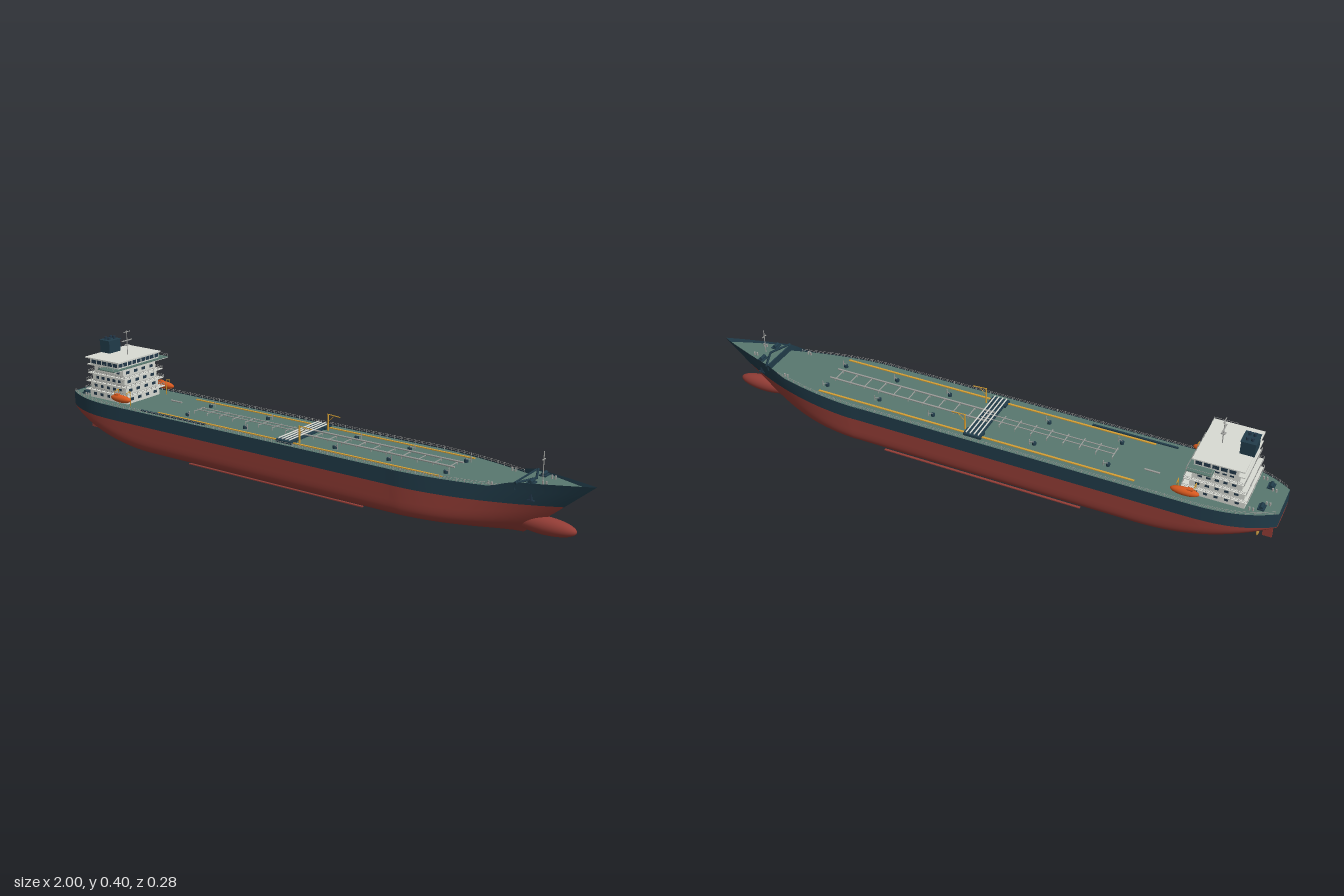
import * as THREE from 'three';
import { mergeGeometries } from 'three/addons/utils/BufferGeometryUtils.js';

const paint = (name, color) => {
  const m = new THREE.MeshStandardMaterial({ color, side: THREE.DoubleSide });
  m.name = name;
  return m;
};

// ---- geometry helpers ----
const V = (x, y, z) => new THREE.Vector3(x, y, z);
const box = (w, h, d, x, y, z) => new THREE.BoxGeometry(w, h, d).translate(x, y, z);
const cyl = (r, h, x, y, z, n = 10) => new THREE.CylinderGeometry(r, r, h, n).translate(x, y + h / 2, z);
function rod(a, b, r = 0.001, n = 5) {
  const d = b.clone().sub(a), g = new THREE.CylinderGeometry(r, r, d.length(), n);
  g.applyQuaternion(new THREE.Quaternion().setFromUnitVectors(V(0, 1, 0), d.normalize()));
  const m = a.clone().add(b).multiplyScalar(0.5);
  return g.translate(m.x, m.y, m.z);
}
function grid(f, nu, nv) {
  const pos = [], uv = [], idx = [];
  for (let i = 0; i <= nu; i++) for (let j = 0; j <= nv; j++) {
    const p = f(i / nu, j / nv);
    pos.push(p.x, p.y, p.z);
    uv.push(i / nu, j / nv);
    if (i < nu && j < nv) {
      const a = i * (nv + 1) + j, b = a + nv + 1;
      idx.push(a, b, a + 1, b, b + 1, a + 1);
    }
  }
  const g = new THREE.BufferGeometry();
  g.setAttribute('position', new THREE.Float32BufferAttribute(pos, 3));
  g.setAttribute('uv', new THREE.Float32BufferAttribute(uv, 2));
  g.setIndex(idx);
  g.computeVertexNormals();
  return g;
}

// ---- hull form: u runs from stern (-1) to stem (1) ----
const WL = 0.107, BEAM = 0.134, DECK = 0.155, FORE = 0.174;
const lerp = THREE.MathUtils.lerp, smooth = THREE.MathUtils.smoothstep;
const bowT = u => Math.max(0, (u - 0.4) / 0.6);
const hullX = (u, y) => u > 0.4 ? 0.4 + bowT(u) * (0.38 + 1.18 * y) : u;
function half(u, y) {
  if (u > 0.4) return BEAM * (1 - Math.pow(bowT(u), lerp(2.3, 1.75, Math.min(1, y / 0.17)))) + 0.0012;
  return BEAM * (1 - 0.52 * Math.pow(Math.max(0, (-0.7 - u) / 0.3), 3));
}
const bottom = u => 0.003 + 0.094 * Math.pow(Math.max(0, (-0.6 - u) / 0.4), 1.9);
const top = u => 0.157 + 0.021 * smooth(u, 0.72, 0.79) + 0.009 * Math.max(0, (u - 0.79) / 0.21);
const edge = (u, y, s, inset = 0) => V(hullX(u, y), y, s * Math.max(0, half(u, y) - inset));
function under(u, v) {
  const a = Math.PI * (1 - v), c = Math.cos(a), s = Math.abs(Math.sin(a));
  const k = 2 / (6 - 3.4 * Math.max(Math.pow(bowT(u), 1.3), smooth(u, -1, -0.55) < 1 ? 1 - smooth(u, -1, -0.55) : 0));
  const y = WL - (WL - bottom(u)) * Math.pow(s, k);
  return V(hullX(u, y), y, Math.sign(c) * half(u, y) * Math.pow(Math.abs(c), k));
}

export function createModel() {
  const red = paint('antifouling red', 0x943d36), navy = paint('navy', 0x213c4a);
  const teal = paint('deck green', 0x59786f), white = paint('off white', 0xd9dbd4);
  const orange = paint('lifeboat orange', 0xd8591f), yellow = paint('pipe yellow', 0xd6a035);
  const grey = paint('fitting grey', 0x9fa09d), glass = paint('window dark', 0x22384a);
  const bronze = paint('bronze', 0xb48a3c);
  const ship = new THREE.Group();
  ship.name = 'tanker';
  const add = (name, mat, ...geos) => {
    const m = new THREE.Mesh(mergeGeometries(geos.flat()), mat);
    m.name = name;
    ship.add(m);
  };
  const sides = f => [1, -1].flatMap(f);
  const range = (a, b, n) => Array.from({ length: n }, (_, i) => lerp(a, b, i / (n - 1)));

  // hull
  add('lowerHull', red, grid((u, v) => under(u * 2 - 1, v), 80, 36),
    grid((u, v) => { const p = under(-1, u); p.y = lerp(p.y, WL, v); return p; }, 24, 1));
  add('upperHull', navy, sides(s => grid((a, v) => {
    const u = a * 2 - 1;
    return edge(u, lerp(WL, top(u), s > 0 ? v : 1 - v), s);
  }, 100, 5)));
  add('transom', navy, grid((u, v) => V(-1, lerp(WL, top(-1), v), lerp(-1, 1, u) * half(-1, WL)), 2, 1));
  add('keels', red, box(1.3, 0.004, 0.008, 0.08, 0.002, 0),
    sides(s => box(0.7, 0.003, 0.008, -0.05, 0.013, s * 0.128)));
  const bulb = new THREE.SphereGeometry(1, 28, 18).scale(0.1, 0.028, 0.027).translate(0.85, 0.038, 0);
  add('bulbousBow', red, bulb);
  add('mainDeck', teal, grid((a, v) => {
    const u = lerp(-1, 0.82, a);
    return edge(u, DECK, 1).multiply(V(1, 1, 1 - 2 * v));
  }, 70, 2));
  add('foredeck', teal, grid((a, v) => edge(lerp(0.79, 1, a), FORE, 1).multiply(V(1, 1, 1 - 2 * v)), 16, 2));
  const fx = hullX(0.79, FORE);
  add('foredeckBulkhead', navy, box(0.004, 0.024, 2 * half(0.79, FORE), fx, 0.166, 0));
  add('breakwater', navy, sides(s => rod(V(fx + 0.004, FORE + 0.003, s * 0.075), V(fx + 0.035, FORE + 0.003, 0), 0.004)));

  // rudder and propeller
  add('rudder', red, box(0.03, 0.062, 0.007, -0.965, 0.04, 0), box(0.012, 0.04, 0.007, -0.967, 0.085, 0));
  const blades = range(0, 3, 4).map(i => new THREE.SphereGeometry(1, 10, 8).scale(0.003, 0.016, 0.007)
    .rotateY(0.5).translate(0, 0.017, 0).rotateX(i * Math.PI / 2 + 0.4).translate(-0.937, 0.04, 0));
  add('propeller', bronze, blades, rod(V(-0.946, 0.04, 0), V(-0.85, 0.04, 0), 0.005, 10));

  // deck edge railings
  const rails = [], stanchions = [];
  for (const s of [1, -1]) {
    for (const h of [0.006, 0.011]) {
      const pts = range(-0.99, 0.76, 40).map(u => edge(u, DECK, s, 0.003).setY(DECK + h));
      rails.push(new THREE.TubeGeometry(new THREE.CatmullRomCurve3(pts), 60, 0.0006, 4));
    }
    for (const u of range(-0.99, 0.76, 66)) {
      const p = edge(u, DECK, s, 0.003);
      stanchions.push(box(0.0014, 0.012, 0.0014, p.x, DECK + 0.006, p.z));
    }
  }
  add('deckRailing', grey, rails, stanchions);

  // accommodation block
  const F = [0.155, 0.186, 0.217, 0.248, 0.28];
  const rear = [-0.9, -0.895, -0.885, -0.875], front = [-0.72, -0.725, -0.73, -0.735];
  const walls = [], slabs = [], panes = [], guard = [];
  for (let i = 0; i < 4; i++) {
    const y = (F[i] + F[i + 1]) / 2, x = (rear[i] + front[i]) / 2, w = front[i] - rear[i];
    walls.push(box(w, F[i + 1] - F[i], 0.166, x, y, 0));
    if (i < 3) {
      const x0 = rear[i] - 0.008, x1 = front[i] + 0.016, z = 0.097, h = F[i + 1] + 0.011;
      slabs.push(box(x1 - x0, 0.003, 2 * z, (x0 + x1) / 2, F[i + 1], 0));
      for (const dy of [0, -0.005]) for (const s of [1, -1]) {
        guard.push(rod(V(x0, h + dy, s * z), V(x1, h + dy, s * z), 0.0006, 4));
        guard.push(rod(V(s > 0 ? x0 : x1, h + dy, -z), V(s > 0 ? x0 : x1, h + dy, z), 0.0006, 4));
      }
      for (const s of [1, -1]) {
        for (const px of range(x0, x1, 9)) guard.push(box(0.001, 0.011, 0.001, px, h - 0.005, s * z));
        for (const pz of range(-z, z, 9)) guard.push(box(0.001, 0.011, 0.001, s > 0 ? x0 : x1, h - 0.005, pz));
      }
    }
    for (const z of [-0.06, -0.02, 0.02, 0.06]) for (const px of [rear[i], front[i]])
      panes.push(box(0.002, 0.01, 0.017, px, y, z));
    for (const px of range(rear[i] + 0.025, front[i] - 0.025, 5)) for (const s of [1, -1])
      panes.push(box(0.013, 0.01, 0.002, px, y, s * 0.083));
  }
  add('accommodation', white, walls);
  add('tierDecks', white, slabs);
  add('tierRailings', grey, guard);

  // bridge with open wings
  add('bridge', white, box(0.135, 0.025, 0.208, -0.805, 0.2935, 0), box(0.16, 0.004, 0.22, -0.812, 0.307, 0));
  add('bridgeWings', teal, box(0.078, 0.003, 0.278, -0.763, 0.2825, 0));
  add('bridgeDeck', white, box(0.165, 0.003, 0.2, -0.81, 0.28, 0), box(0.078, 0.002, 0.278, -0.763, 0.28, 0));
  add('wingRailing', grey, sides(s => [
    rod(V(-0.8, 0.293, s * 0.138), V(-0.726, 0.293, s * 0.138), 0.0007),
    ...[-0.8, -0.726].flatMap(x => [rod(V(x, 0.293, s * 0.105), V(x, 0.293, s * 0.138), 0.0007),
      box(0.0015, 0.012, 0.0015, x, 0.288, s * 0.138)])]));
  for (const z of range(-0.092, 0.092, 9)) panes.push(box(0.002, 0.013, 0.018, -0.7375, 0.295, z));
  for (const z of range(-0.075, 0.075, 5)) panes.push(box(0.002, 0.011, 0.02, -0.8725, 0.295, z));
  for (const x of range(-0.855, -0.752, 5)) for (const s of [1, -1])
    panes.push(box(0.02, 0.013, 0.002, x, 0.295, s * 0.104));
  add('windows', glass, panes);
  add('outsideStairs', white, [0, 1, 2].flatMap(i => [0, 0.006].map(d =>
    rod(V(-0.76, F[i], 0.088 + d), V(-0.72, F[i + 1], 0.088 + d), 0.001))));

  // funnel, exhausts and radar mast
  add('funnel', navy, box(0.045, 0.046, 0.056, -0.873, 0.331, 0), box(0.049, 0.003, 0.06, -0.873, 0.353, 0));
  add('exhaustPipes', glass, sides(s => [0, 0.016].map(d => cyl(0.005, 0.01, -0.881 + d, 0.354, s * 0.013))));
  add('radarMast', grey, rod(V(-0.79, 0.308, 0), V(-0.79, 0.396, 0), 0.0015, 8),
    box(0.003, 0.002, 0.03, -0.79, 0.392, 0), box(0.004, 0.003, 0.05, -0.79, 0.361, 0),
    box(0.014, 0.002, 0.014, -0.79, 0.345, 0));

  // lifeboats in davits
  add('lifeboats', orange, sides(s => [
    new THREE.SphereGeometry(1, 20, 12).scale(0.046, 0.0135, 0.0135).translate(-0.722, 0.183, s * 0.113),
    box(0.018, 0.008, 0.013, -0.738, 0.194, s * 0.113)]));
  add('davits', yellow, sides(s => [-0.75, -0.695].flatMap(x => [
    rod(V(x, DECK, s * 0.094), V(x, 0.21, s * 0.094), 0.0015),
    rod(V(x, 0.21, s * 0.094), V(x, 0.205, s * 0.113), 0.0015),
    rod(V(x, 0.205, s * 0.113), V(x, 0.19, s * 0.113), 0.0007)])));

  // cargo deck piping
  add('sidePipes', yellow, sides(s => box(1.12, 0.003, 0.007, 0, 0.158, s * 0.101)));
  const frames = range(-0.46, 0.54, 19).flatMap(x => [box(0.003, 0.002, 0.054, x, 0.163, 0),
    ...sides(s => box(0.002, 0.008, 0.002, x, 0.159, s * 0.026))]);
  add('pipeFrames', grey, frames);
  add('cargoPipes', grey, sides(s => [
    rod(V(-0.03, 0.166, s * 0.027), V(0.56, 0.166, s * 0.027), 0.003, 8),
    rod(V(-0.46, 0.166, s * 0.012), V(0.0, 0.166, s * 0.012), 0.0018, 8)]),
    rod(V(-0.62, 0.16, -0.035), V(-0.57, 0.16, -0.035), 0.003, 8));
  add('manifoldTrays', navy, sides(s => box(0.062, 0.008, 0.036, -0.015, 0.159, s * 0.096)),
    box(0.05, 0.004, 0.17, -0.015, 0.157, 0));
  add('manifoldPipes', white, range(-0.036, 0.006, 4).map(x => rod(V(x, 0.168, -0.11), V(x, 0.168, 0.11), 0.0025, 8)));
  add('hoseCranes', yellow, sides(s => [cyl(0.003, 0.056, 0.025, DECK, s * 0.08, 8),
    rod(V(0.022, 0.211, s * 0.08), V(0.072, 0.208, s * 0.08), 0.0018),
    rod(V(0.025, 0.185, s * 0.08), V(0.05, 0.209, s * 0.08), 0.001)]));
  const hatchX = [-0.46, -0.21, 0.15, 0.35, 0.55];
  add('tankHatches', navy, sides(s => hatchX.map(x => cyl(0.007, 0.009, x, DECK, s * 0.062, 12))));
  add('tankVents', grey, sides(s => hatchX.flatMap(x => [cyl(0.0016, 0.02, x + 0.014, DECK, s * 0.068, 6),
    rod(V(x, 0.165, s * 0.062), V(x + 0.014, 0.165, s * 0.068), 0.0014)])));
  add('gangway', navy, box(0.29, 0.004, 0.007, -0.485, 0.158, 0.113));

  // mooring gear fore and aft
  const winch = (x, y, z) => [rod(V(x, y + 0.007, z - 0.012), V(x, y + 0.007, z + 0.012), 0.006, 10),
    box(0.022, 0.004, 0.03, x, y + 0.002, z)];
  add('winches', navy, sides(s => [...winch(-0.945, DECK, s * 0.055), ...winch(0.82, FORE, s * 0.042)]));
  add('bollards', grey, sides(s => [[-0.965, DECK, 0.035], [-0.925, DECK, 0.08], [0.85, FORE, 0.03], [0.7, DECK, 0.075]]
    .flatMap(([x, y, z]) => [cyl(0.003, 0.011, x, y, s * z, 8), cyl(0.003, 0.011, x + 0.011, y, s * z, 8)])));
  add('foremast', grey, rod(V(0.835, FORE, 0), V(0.835, 0.262, 0), 0.0016, 8), box(0.003, 0.002, 0.022, 0.835, 0.238, 0));
  add('anchors', glass, sides(s => {
    const p = edge(0.87, 0.135, s);
    return [box(0.01, 0.022, 0.005, p.x, p.y, p.z), box(0.024, 0.005, 0.006, p.x, p.y - 0.01, p.z)];
  }));
  return ship;
}
